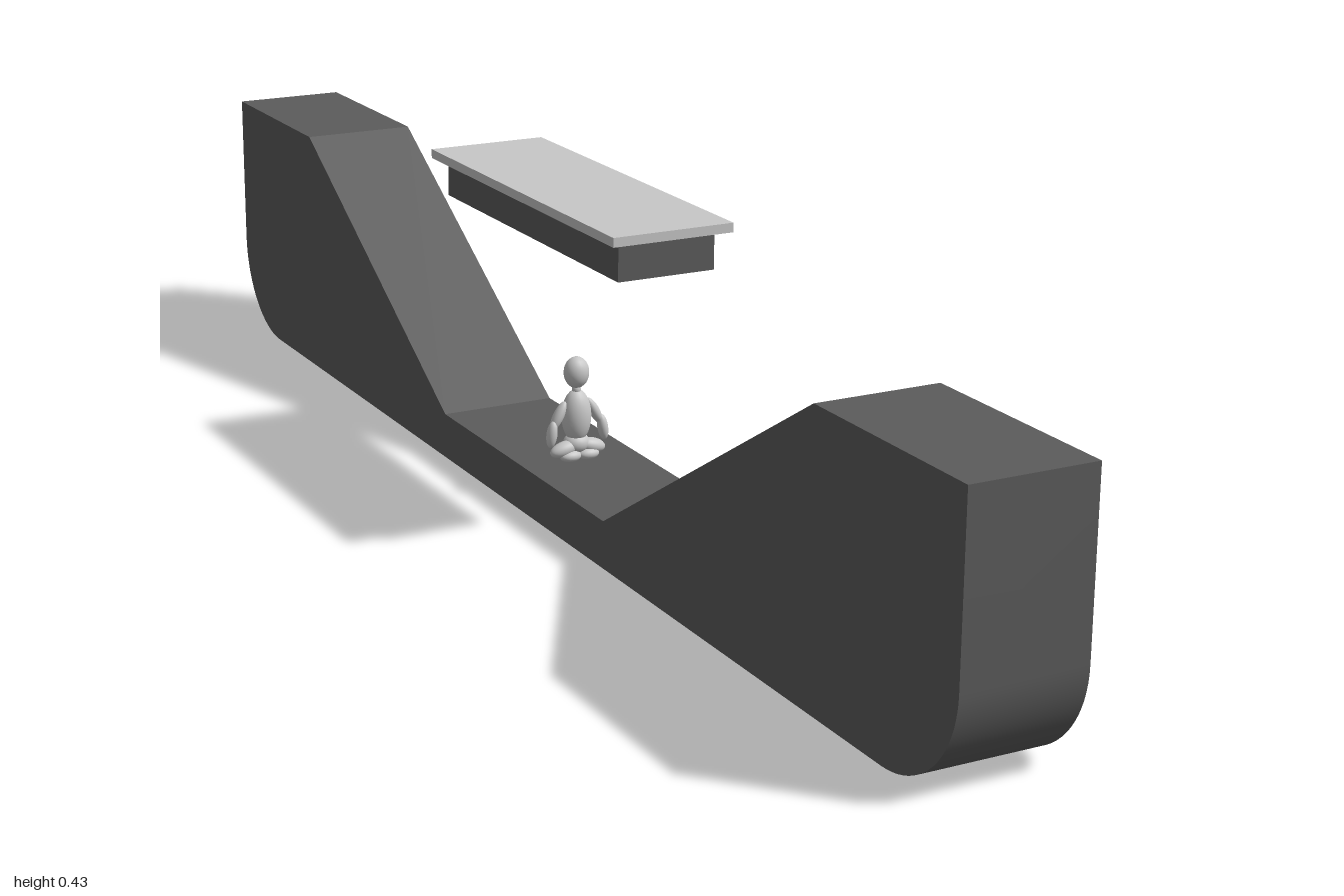
import * as THREE from 'three';
import { toCreasedNormals } from 'three/addons/utils/BufferGeometryUtils.js';

export function createModel() {
  const model = new THREE.Group();
  model.name = 'rampWithCanopy';
  const darkGrey = new THREE.MeshStandardMaterial({ name: 'darkGrey', color: 0x5c5c5c });
  const lightGrey = new THREE.MeshStandardMaterial({ name: 'lightGrey', color: 0xc8c8c8 });

  const add = (parent, name, geometry, material, x = 0, y = 0, z = 0) => {
    const mesh = new THREE.Mesh(geometry, material);
    mesh.name = name;
    mesh.position.set(x, y, z);
    parent.add(mesh);
    return mesh;
  };

  // Ramp body: side profile with rounded lower corners, extruded across x
  const r = 0.135, width = 0.159;
  const profile = new THREE.Shape();
  profile.moveTo(-1 + r, 0);
  profile.lineTo(1 - r, 0);
  profile.absarc(1 - r, r, r, -Math.PI / 2, 0, false);
  profile.lineTo(1, 0.353);
  profile.lineTo(0.715, 0.353);
  profile.lineTo(0.235, 0.062);
  profile.lineTo(-0.235, 0.062);
  profile.lineTo(-0.715, 0.353);
  profile.lineTo(-1, 0.353);
  profile.lineTo(-1, r);
  profile.absarc(-1 + r, r, r, Math.PI, Math.PI * 1.5, false);
  const body = new THREE.ExtrudeGeometry(profile, { depth: width, bevelEnabled: false, curveSegments: 10 });
  body.translate(0, 0, -width / 2);
  body.rotateY(-Math.PI / 2);
  add(model, 'rampBody', toCreasedNormals(body, 0.4), darkGrey);

  // Floating canopy: thin slab over a narrower block
  const canopy = new THREE.Group();
  canopy.name = 'canopy';
  add(canopy, 'canopySlab', new THREE.BoxGeometry(0.163, 0.012, 0.526), lightGrey, 0, 0.421, 0);
  add(canopy, 'canopyBlock', new THREE.BoxGeometry(0.131, 0.049, 0.49), darkGrey, 0, 0.3905, 0);
  model.add(canopy);

  // Seated figure made of ellipsoids
  const figure = new THREE.Group();
  figure.name = 'seatedFigure';
  figure.position.z = 0.005;
  const ball = new THREE.SphereGeometry(1, 20, 14);
  const blob = (name, x, y, z, rx, ry, rz, tilt = 0) => {
    const mesh = add(figure, name, ball, lightGrey, x, y, z);
    mesh.scale.set(rx, ry, rz);
    mesh.rotation.z = tilt;
  };
  blob('head', 0, 0.178, 0, 0.017, 0.021, 0.016);
  blob('neck', 0, 0.155, 0, 0.006, 0.008, 0.006);
  blob('torso', 0, 0.119, 0, 0.02, 0.036, 0.018);
  blob('hips', 0, 0.082, 0, 0.018, 0.014, 0.016);
  for (const side of [-1, 1]) {
    blob('upperArm', side * 0.026, 0.122, 0, 0.007, 0.021, 0.008, side * 0.5);
    blob('forearm', side * 0.037, 0.099, 0.003, 0.007, 0.018, 0.008, side * 0.15);
    blob('thigh', side * 0.02, 0.077, 0.004, 0.02, 0.01, 0.011, side * -0.25);
    blob('foot', side * 0.013, 0.068, 0.009, 0.015, 0.008, 0.01);
  }
  model.add(figure);

  return model;
}
